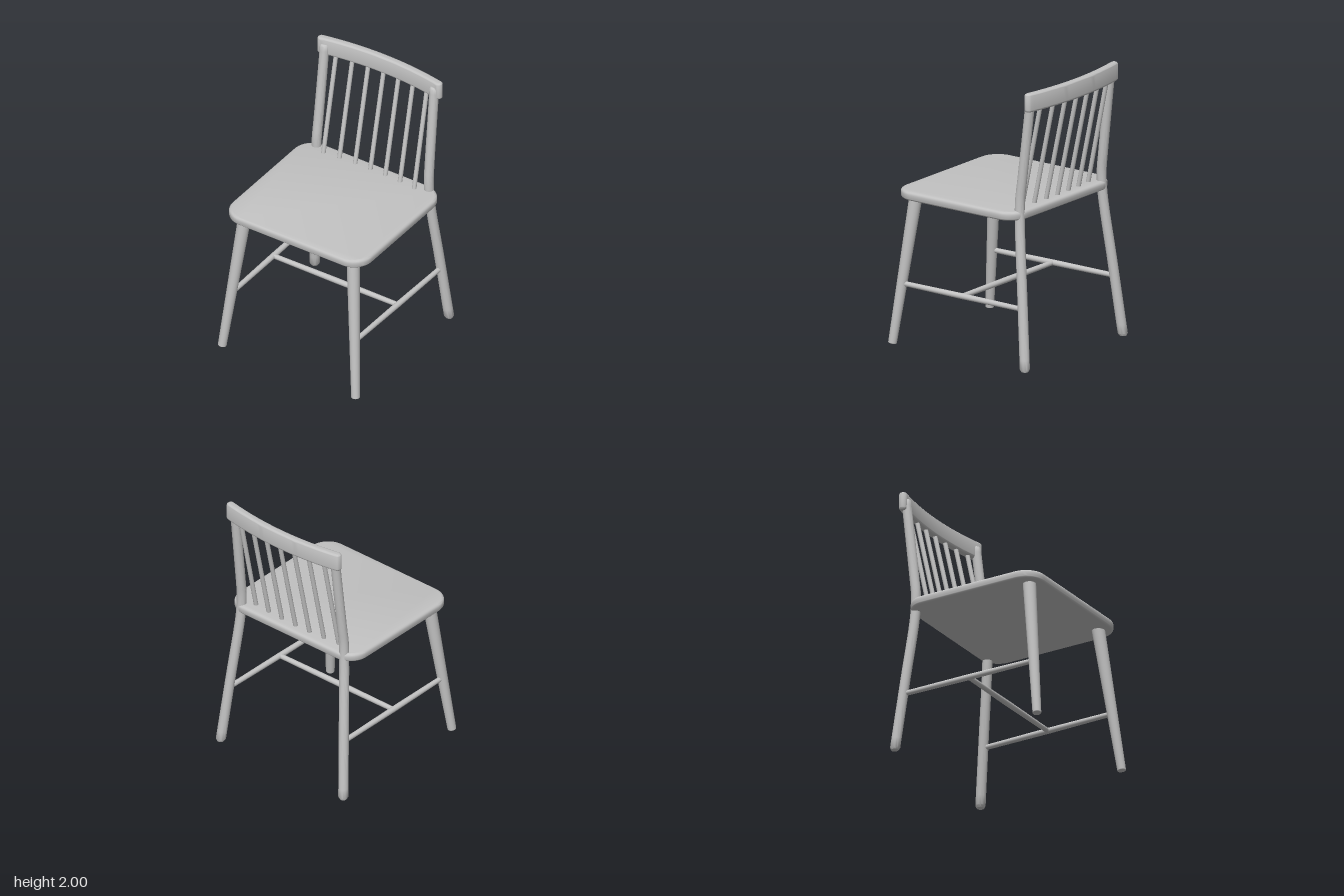
import * as THREE from 'three';
import { toCreasedNormals } from 'three/addons/utils/BufferGeometryUtils.js';

const V = (x, y, z) => new THREE.Vector3(x, y, z);

export function createModel() {
  const chair = new THREE.Group();
  chair.name = 'chair';
  const paint = new THREE.MeshStandardMaterial({ color: 0xc2c2c2 });
  paint.name = 'light grey';

  const add = (name, geometry) => {
    const mesh = new THREE.Mesh(geometry, paint);
    mesh.name = name;
    chair.add(mesh);
    return mesh;
  };

  // Points along an arc in plan, from angle a to b
  const arc = (cx, cy, r, a, b, n) => Array.from({ length: n }, (_, i) => {
    const t = a + (b - a) * i / n;
    return new THREE.Vector2(cx + r * Math.cos(t), cy + r * Math.sin(t));
  });

  // Plan outline (x, -z) raised from y0 to y1 with rounded edges
  const slab = (points, y0, y1, bevel) => {
    const g = new THREE.ExtrudeGeometry(new THREE.Shape(points), {
      depth: y1 - y0 - 2 * bevel, bevelEnabled: true, bevelThickness: bevel,
      bevelSize: bevel, bevelOffset: -bevel, bevelSegments: 5,
    });
    g.rotateX(-Math.PI / 2).translate(0, y0 + bevel, 0);
    return toCreasedNormals(g, 0.7);
  };

  // Turned rod between two points, with softened ends
  const rod = (name, a, b, ra, rb, rm = (ra + rb) / 2, soft = 0.006) => {
    const len = a.distanceTo(b);
    const profile = [
      [0, 0], [ra - soft, 0], [ra - soft * 0.3, soft * 0.3], [ra, soft],
      [rm, len / 2],
      [rb, len - soft], [rb - soft * 0.3, len - soft * 0.3], [rb - soft, len], [0, len],
    ].map(([r, y]) => new THREE.Vector2(r, y));
    const mesh = add(name, new THREE.LatheGeometry(profile, 24));
    mesh.position.copy(a);
    mesh.quaternion.setFromUnitVectors(V(0, 1, 0), b.clone().sub(a).normalize());
  };

  // Seat
  const W = 0.585, F = -0.575, B = 0.495, R = 0.15, H = Math.PI / 2;
  const corners = [[W - R, B - R], [-W + R, B - R], [-W + R, F + R], [W - R, F + R]];
  const seatOutline = corners.flatMap(([x, y], i) => [
    ...arc(x, y, R, i * H, (i + 1) * H, 12),
    new THREE.Vector2(x + R * Math.cos((i + 1) * H), y + R * Math.sin((i + 1) * H)),
  ]);
  add('seat', slab(seatOutline, 1.065, 1.13, 0.022));

  // Curved top rail
  const bow = 2.525, half = 0.029, cy = 0.596 - bow;
  const span = Math.asin(0.491 / bow), a0 = H - span, a1 = H + span;
  const railEnd = (a) => [bow * Math.cos(a), cy + bow * Math.sin(a)];
  add('topRail', slab([
    ...arc(0, cy, bow + half, a0, a1, 32),
    ...arc(...railEnd(a1), half, a1, a1 + Math.PI, 10),
    ...arc(0, cy, bow - half, a1, a0, 32),
    ...arc(...railEnd(a0), half, a0 + Math.PI, a0 + 2 * Math.PI, 10),
  ], 1.865, 2.0, 0.018));
  const railZ = (x) => -(cy + Math.sqrt(bow * bow - x * x));

  // Back spindles
  for (let i = -3; i <= 3; i++) {
    const x = i * 0.127;
    rod('spindle', V(x, 1.1, -0.42 + 0.02 * (i / 3) ** 2), V(x, 1.89, railZ(x)), 0.016, 0.016);
  }

  // Back leg and post in one bent piece: a turned rod whose sections follow a curve
  const backLeg = (side) => {
    const path = new THREE.CatmullRomCurve3([
      V(0.565, 0, -0.571), V(0.52, 0.53, -0.514), V(0.476, 1.04, -0.459), V(0.47, 1.2, -0.456),
      V(0.467, 1.33, -0.47), V(0.463, 1.65, -0.507), V(0.46, 1.955, -0.542),
    ]);
    const n = 48, profile = [[0, 0], [0.026, 0], [0.033, 0.004]];
    for (let i = 0; i <= n; i++) profile.push([0.036 - 0.002 * i / n, 0.006 + 0.988 * i / n]);
    profile.push([0.031, 0.997], [0.025, 1], [0, 1]);
    const g = new THREE.LatheGeometry(profile.map(([r, t]) => new THREE.Vector2(r, t)), 24);
    const p = g.attributes.position;
    for (let i = 0; i < p.count; i++) {
      const c = path.getPoint(p.getY(i));
      p.setXYZ(i, p.getX(i) + c.x * side, c.y, p.getZ(i) + c.z);
    }
    add('backLeg', toCreasedNormals(g, 0.8));
  };

  for (const s of [1, -1]) {
    rod('frontLeg', V(0.56 * s, 0, 0.592), V(0.453 * s, 1.09, 0.463), 0.031, 0.047);
    backLeg(s);
    rod('sideStretcher', V(0.517 * s, 0.435, 0.535), V(0.527 * s, 0.435, -0.52), 0.018, 0.018, 0.021);
  }

  // Stretcher joining the two side stretchers
  rod('crossStretcher', V(-0.52, 0.435, 0.01), V(0.52, 0.435, 0.01), 0.018, 0.018, 0.021);

  return chair;
}
